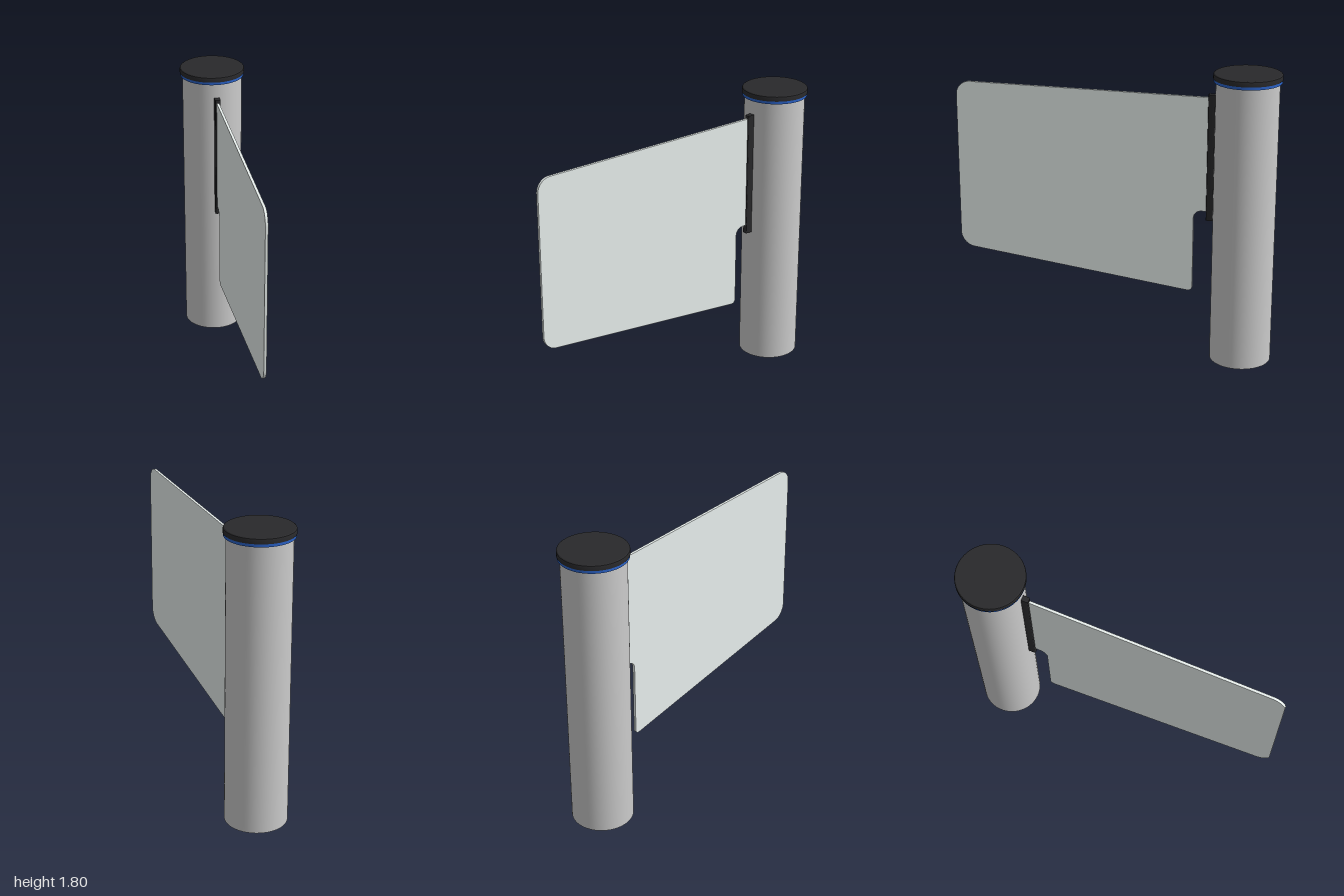
import * as THREE from 'three';
import { toCreasedNormals } from 'three/addons/utils/BufferGeometryUtils.js';

const POST_Z = -0.797;

// Closed outline from [x, y, radius] corners, each rounded by its own radius
function roundedShape(corners) {
  const shape = new THREE.Shape();
  const n = corners.length;
  const toward = (p, q, d) => {
    const len = Math.hypot(q[0] - p[0], q[1] - p[1]);
    return [p[0] + (q[0] - p[0]) * d / len, p[1] + (q[1] - p[1]) * d / len];
  };
  corners.forEach((p, i) => {
    const prev = corners[(i + n - 1) % n], next = corners[(i + 1) % n], r = p[2];
    const a = toward(p, prev, r), b = toward(p, next, r);
    if (i === 0) shape.moveTo(...a); else shape.lineTo(...a);
    if (r > 0) shape.bezierCurveTo(...toward(p, prev, r * 0.45), ...toward(p, next, r * 0.45), ...b);
  });
  shape.closePath();
  return shape;
}

function extrude(shape, depth) {
  const geo = new THREE.ExtrudeGeometry(shape, { depth, bevelEnabled: false, curveSegments: 12 });
  return toCreasedNormals(geo, 0.5);
}

// Turned part around the post axis, with crisp edges
function turned(points) {
  const geo = new THREE.LatheGeometry(points.map(([r, y]) => new THREE.Vector2(r, y)), 64);
  geo.translate(0, 0, POST_Z);
  return toCreasedNormals(geo, 0.5);
}

export function createModel() {
  const group = new THREE.Group();
  const add = (name, geo, color) => {
    const mesh = new THREE.Mesh(geo, new THREE.MeshStandardMaterial({ color }));
    mesh.name = name;
    group.add(mesh);
  };

  // Upright post, closed at both ends
  const post = new THREE.CylinderGeometry(0.187, 0.187, 1.757, 64);
  post.translate(0, 1.757 / 2, POST_Z);
  add('post', post, 0xcccccc);

  // Blue light band below the cap
  add('lightRing', turned([[0, 1.755], [0.2, 1.755], [0.2, 1.775], [0, 1.775]]), 0x2a62c8);

  // Dark lid with a softened rim
  add('cap', turned([[0, 1.773], [0.203, 1.773], [0.203, 1.795], [0.201, 1.801],
    [0.195, 1.805], [0, 1.805]]), 0x29292b);

  // Swing panel: outline drawn in (z, y), thickness along x
  const panel = extrude(roundedShape([
    [-0.6, 1.645, 0],
    [-0.6, 0.935, 0],
    [-0.49, 0.935, 0.05],
    [-0.49, 0.408, 0.03],
    [1, 0.578, 0.085],
    [1, 1.645, 0.085],
  ]), 0.016);
  panel.translate(0, 0, -0.008);
  panel.rotateY(-Math.PI / 2);
  add('panel', panel, 0xe9f0ee);

  // Two dark clamp jaws gripping the panel edge, rounded at the front
  for (const [name, s] of [['leftClamp', 1], ['rightClamp', -1]]) {
    // Drawn in (x, -z), extruded upwards
    const jaw = extrude(roundedShape([
      [s * 0.007, 0.64, 0],
      [s * 0.017, 0.64, 0],
      [s * 0.017, 0.567, 0.009],
      [s * 0.007, 0.567, 0],
    ]), 0.785);
    jaw.rotateX(-Math.PI / 2);
    jaw.translate(0, 0.88, 0);
    add(name, jaw, 0x29292b);
  }

  // Stops closing the clamp above and below the panel edge
  for (const [name, y0, y1] of [['upperClampStop', 1.644, 1.665], ['lowerClampStop', 0.88, 0.936]]) {
    const stop = new THREE.BoxGeometry(0.016, y1 - y0, 0.073);
    stop.translate(0, (y0 + y1) / 2, -0.6035);
    add(name, stop, 0x29292b);
  }
  return group;
}
